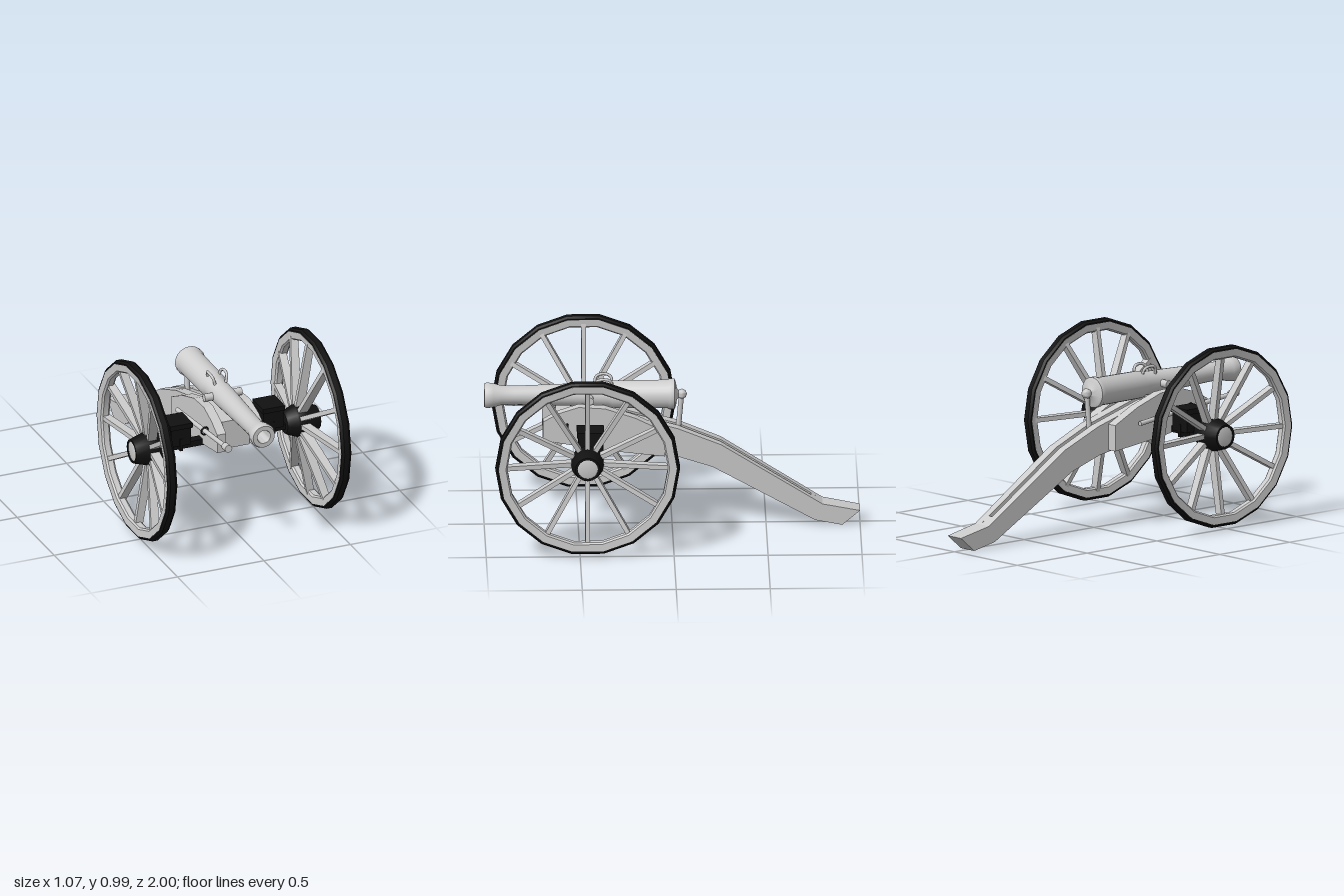
import * as THREE from 'three';
import { toCreasedNormals } from 'three/addons/utils/BufferGeometryUtils.js';

const grey = new THREE.MeshStandardMaterial({ color: 0xcccccc });
const black = new THREE.MeshStandardMaterial({ color: 0x111111 });
const AXLE_Y = 0.508, AXLE_Z = 0.46, BORE_Y = 0.733;

function add(parent, name, geo, mat = grey, x = 0, y = 0, z = 0) {
  const mesh = new THREE.Mesh(geo, mat);
  mesh.name = name;
  mesh.position.set(x, y, z);
  parent.add(mesh);
  return mesh;
}

// Turned solid from [radius, along] pairs, around the y axis
function turned(points, sides, crease = 0.6) {
  const geo = new THREE.LatheGeometry(points.map(p => new THREE.Vector2(...p)), sides);
  return toCreasedNormals(geo, crease);
}

// Plank with a side profile of [z, y] points; span(z) gives its x limits
function plank(points, span) {
  const shape = new THREE.Shape(points.map(([z, y]) => new THREE.Vector2(-z, y)));
  const geo = new THREE.ExtrudeGeometry(shape, { depth: 1, bevelEnabled: false });
  geo.rotateY(Math.PI / 2);
  const p = geo.attributes.position;
  for (let i = 0; i < p.count; i++) {
    const [a, b] = span(p.getZ(i));
    p.setX(i, a + (b - a) * p.getX(i));
  }
  return toCreasedNormals(geo, 0.1);
}

// Round bar between two points
function bar(parent, name, from, to, r, mat = grey) {
  const a = new THREE.Vector3(...from), b = new THREE.Vector3(...to);
  const mesh = add(parent, name, new THREE.CylinderGeometry(r, r, a.distanceTo(b), 12), mat);
  mesh.position.copy(a).add(b).multiplyScalar(0.5);
  mesh.quaternion.setFromUnitVectors(new THREE.Vector3(0, 1, 0), b.sub(a).normalize());
  return mesh;
}

// Wheel with its outer side towards +x; x is the distance from the carriage centre
function makeWheel() {
  const wheel = new THREE.Group();
  const ring = (name, pts, sides, mat) =>
    add(wheel, name, turned(pts, sides).rotateZ(-Math.PI / 2), mat);
  ring('tyre', [[0.472, 0.476], [0.482, 0.476], [0.492, 0.489], [0.492, 0.519], [0.482, 0.531],
    [0.472, 0.531], [0.472, 0.476]], 18, black);
  ring('rim', [[0.436, 0.478], [0.474, 0.475], [0.474, 0.532], [0.436, 0.528], [0.428, 0.518],
    [0.428, 0.488], [0.436, 0.478]], 18, grey);
  ring('hub', [[0, 0.345], [0.058, 0.345], [0.066, 0.355], [0.084, 0.4], [0.088, 0.41], [0.088, 0.46],
    [0.066, 0.535], [0.054, 0.535], [0.054, 0.525]], 16, black);
  ring('hubCap', [[0.055, 0.53], [0.04, 0.534], [0, 0.534]], 16, grey);
  // Dished spokes, thicker at the hub
  const start = new THREE.Vector2(0.432, 0.06), end = new THREE.Vector2(0.498, 0.445);
  const length = start.distanceTo(end);
  for (let i = 0; i < 12; i++) {
    const geo = new THREE.BoxGeometry(0.042, length, 0.025);
    const p = geo.attributes.position;
    for (let k = 0; k < p.count; k++) if (p.getY(k) < 0) p.setX(k, p.getX(k) * 1.25);
    geo.rotateZ(-Math.atan2(end.x - start.x, end.y - start.y));
    geo.translate((start.x + end.x) / 2, (start.y + end.y) / 2, 0);
    geo.rotateX(i * Math.PI / 6);
    geo.computeVertexNormals();
    add(wheel, 'spoke', geo);
  }
  return wheel;
}

export function createModel() {
  const model = new THREE.Group();
  model.name = 'fieldCannon';

  // Barrel with knob, breech ring, taper, muzzle swell and bore
  const barrel = new THREE.Group();
  barrel.name = 'barrel';
  barrel.position.y = BORE_Y;
  model.add(barrel);
  add(barrel, 'tube', turned([[0, -0.08], [0.019, -0.072], [0.028, -0.053], [0.02, -0.035], [0.03, -0.026],
    [0.065, -0.02], [0.082, -0.012], [0.083, 0.012], [0.076, 0.026], [0.074, 0.32], [0.064, 0.345],
    [0.061, 0.5], [0.05, 0.84], [0.053, 0.91], [0.064, 0.95], [0.069, 0.985], [0.062, 1], [0.038, 1],
    [0.034, 0.98], [0.034, 0.8], [0, 0.79]], 24, 0.9).rotateX(Math.PI / 2));
  bar(barrel, 'trunnions', [-0.108, 0, 0.44], [0.108, 0, 0.44], 0.021);
  for (const s of [-1, 1]) {
    const path = new THREE.CatmullRomCurve3([[0.03, 0.05, 0.318], [0.039, 0.085, 0.325], [0.044, 0.098, 0.345],
      [0.044, 0.098, 0.385], [0.039, 0.085, 0.405], [0.03, 0.05, 0.412]]
      .map(([x, y, z]) => new THREE.Vector3(s * x, y, z)));
    add(barrel, 'liftingHandle', new THREE.TubeGeometry(path, 20, 0.008, 8));
  }
  bar(model, 'elevatingScrew', [0, 0.5, -0.03], [0, 0.725, -0.05], 0.014);

  // Trail: two converging rails closed at both ends
  const half = z => 0.069 + 0.017 * z;
  const trail = [[0.62, 0.665], [0.3, 0.655], [-0.03, 0.56], [-0.26, 0.465], [-0.8, 0.12], [-1, 0.08],
    [-0.905, 0], [-0.76, 0.03], [-0.215, 0.34], [-0.02, 0.405], [0.37, 0.47], [0.62, 0.505]];
  for (const s of [-1, 1]) {
    add(model, 'trailRail', plank(trail, z => s > 0 ? [0.013, half(z)] : [-half(z), -0.013]));
  }
  const middle = () => [-0.0131, 0.0131];
  add(model, 'trailEndBlock', plank([[-0.74, 0.158], [-0.8, 0.12], [-1, 0.08], [-0.905, 0], [-0.76, 0.03],
    [-0.74, 0.041]], middle));
  add(model, 'trailFrontBlock', plank([[0.62, 0.665], [0.4, 0.658], [0.4, 0.475], [0.62, 0.505]], middle));

  // Outer cheeks carrying the trunnions
  const cheek = [[0.69, 0.525], [0.69, 0.63], [0.61, 0.675], [0.5, 0.71], [0.36, 0.7], [0.2, 0.645],
    [0.04, 0.565], [0.04, 0.425], [0.37, 0.465]];
  for (const s of [-1, 1]) {
    add(model, 'cheek', plank(cheek, z => {
      const inner = 0.066 + 0.03 * z, outer = 0.125 + 0.018 * z;
      return s > 0 ? [inner, outer] : [-outer, -inner];
    }));
  }

  // Axle and the chests standing on it
  add(model, 'axle', new THREE.BoxGeometry(0.76, 0.034, 0.05), black, 0, 0.497, AXLE_Z);
  for (const s of [-1, 1]) {
    const chest = new THREE.Group();
    chest.name = 'chest';
    chest.position.set(s * 0.267, 0, 0.44);
    model.add(chest);
    add(chest, 'chestBody', new THREE.BoxGeometry(0.115, 0.115, 0.13), black, 0, 0.566, 0);
    add(chest, 'chestLid', new THREE.BoxGeometry(0.128, 0.028, 0.144), black, 0, 0.622, 0);
    add(chest, 'chestStrap', new THREE.BoxGeometry(0.018, 0.07, 0.138), black, 0, 0.515, 0);
  }

  // Rammer held in a side ring
  const rodY = z => 0.56 + 0.115 * (z - 0.19);
  bar(model, 'rammerRod', [-0.155, rodY(0.19), 0.19], [-0.155, rodY(0.86), 0.86], 0.013);
  bar(model, 'rammerHead', [-0.155, rodY(0.835), 0.835], [-0.155, rodY(0.885), 0.885], 0.021);
  for (const s of [-1, 1]) {
    add(model, 'sideRing', new THREE.TorusGeometry(0.021, 0.005, 8, 20), black, s * 0.153, 0.6, 0.56);
  }

  // Wheels
  for (const s of [-1, 1]) {
    const wheel = makeWheel();
    wheel.name = s > 0 ? 'leftWheel' : 'rightWheel';
    wheel.position.set(0, AXLE_Y, AXLE_Z);
    if (s < 0) wheel.rotation.y = Math.PI;
    model.add(wheel);
  }
  return model;
}
